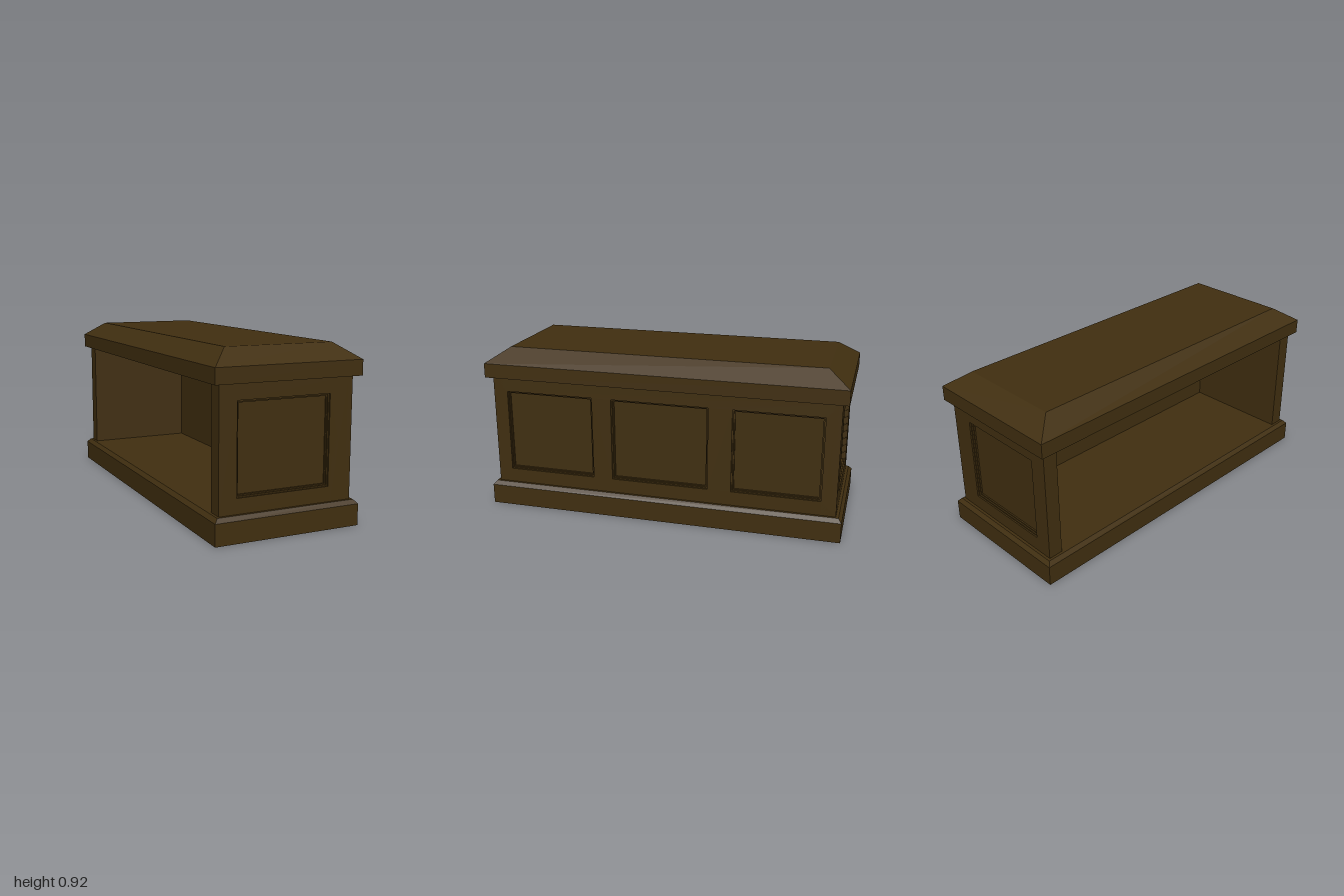
import * as THREE from 'three';

const wood = new THREE.MeshStandardMaterial({ color: 0x412f10 });
wood.name = 'dark wood';
wood.side = THREE.DoubleSide;

const Y0 = 0.133, Y1 = 0.76;          // body bottom and top
const PANEL_Y = [0.212, 0.678];       // panel opening bottom and top

// Stacked rectangles [y, halfWidth, halfLength], with optional end caps
function rectLoft(levels, capBottom) {
  const rings = levels.map(([y, w, l]) => [[w, y, l], [w, y, -l], [-w, y, -l], [-w, y, l]]);
  const pos = [];
  const quad = (a, b, c, d) => pos.push(...a, ...b, ...c, ...a, ...c, ...d);
  for (let i = 0; i < rings.length - 1; i++) {
    for (let k = 0; k < 4; k++) {
      const n = (k + 1) % 4;
      quad(rings[i][k], rings[i][n], rings[i + 1][n], rings[i + 1][k]);
    }
  }
  quad(...rings[rings.length - 1]);
  if (capBottom) quad(...[...rings[0]].reverse());
  const g = new THREE.BufferGeometry();
  g.setAttribute('position', new THREE.Float32BufferAttribute(pos, 3));
  g.computeVertexNormals();
  return g;
}

function rectPath(target, x0, x1, y0, y1) {
  target.moveTo(x0, y0);
  target.lineTo(x1, y0);
  target.lineTo(x1, y1);
  target.lineTo(x0, y1);
  target.closePath();
  return target;
}

function add(parent, geometry, name) {
  const mesh = new THREE.Mesh(geometry, wood);
  mesh.name = name;
  parent.add(mesh);
  return mesh;
}

// Flat frame with openings, its front face at z = front
function frame(outer, holes, front, depth) {
  const shape = rectPath(new THREE.Shape(), ...outer);
  holes.forEach(h => shape.holes.push(rectPath(new THREE.Path(), ...h)));
  const g = new THREE.ExtrudeGeometry(shape, { depth, bevelEnabled: false });
  return g.translate(0, 0, front - depth);
}

// Wall facing +z with its outer face at z = 0
function panelWall(x0, x1, thickness, spans, name) {
  const wall = new THREE.Group();
  wall.name = name;
  const recess = 0.024;
  const holes = spans.map(([a, b]) => [a, b, ...PANEL_Y]);
  add(wall, frame([x0, x1, Y0, Y1], holes, 0, recess), 'wallFrame');
  add(wall, frame([x0, x1, Y0, Y1], [], -recess, thickness - recess), 'wallPanel');
  // Two-step moulding around every panel
  const inset = ([a, b, c, d], t) => [a + t, b - t, c + t, d - t];
  for (const h of holes) {
    add(wall, frame(h, [inset(h, 0.007)], -0.008, 0.016), 'outerMoulding');
    add(wall, frame(inset(h, 0.007), [inset(h, 0.013)], -0.016, 0.008), 'innerMoulding');
  }
  return wall;
}

export function createModel() {
  const counter = new THREE.Group();
  counter.name = 'counter';

  // Hollow plinth with chamfered top edge, closed by the floor
  add(counter, rectLoft([[0, 0.398, 1], [0.112, 0.398, 1], [Y0, 0.379, 0.982]], false), 'plinth');

  // Lid with sloping edges
  add(counter, rectLoft([[Y1, 0.4, 1], [0.84, 0.4, 1], [0.92, 0.295, 0.88]], true), 'lid');

  // End walls, one panel each
  const front = panelWall(-0.365, 0.365, 0.08, [[-0.27, 0.237]], 'frontWall');
  front.position.z = 0.967;
  const back = panelWall(-0.365, 0.365, 0.08, [[-0.237, 0.27]], 'backWall');
  back.position.z = -0.967;
  back.rotation.y = Math.PI;

  // Long wall with three panels; the opposite side stays open
  const side = panelWall(-0.967, 0.967, 0.115,
    [[-0.89, -0.385], [-0.275, 0.27], [0.4, 0.885]], 'sideWall');
  side.position.x = 0.365;
  side.rotation.y = Math.PI / 2;

  counter.add(front, back, side);
  return counter;
}
